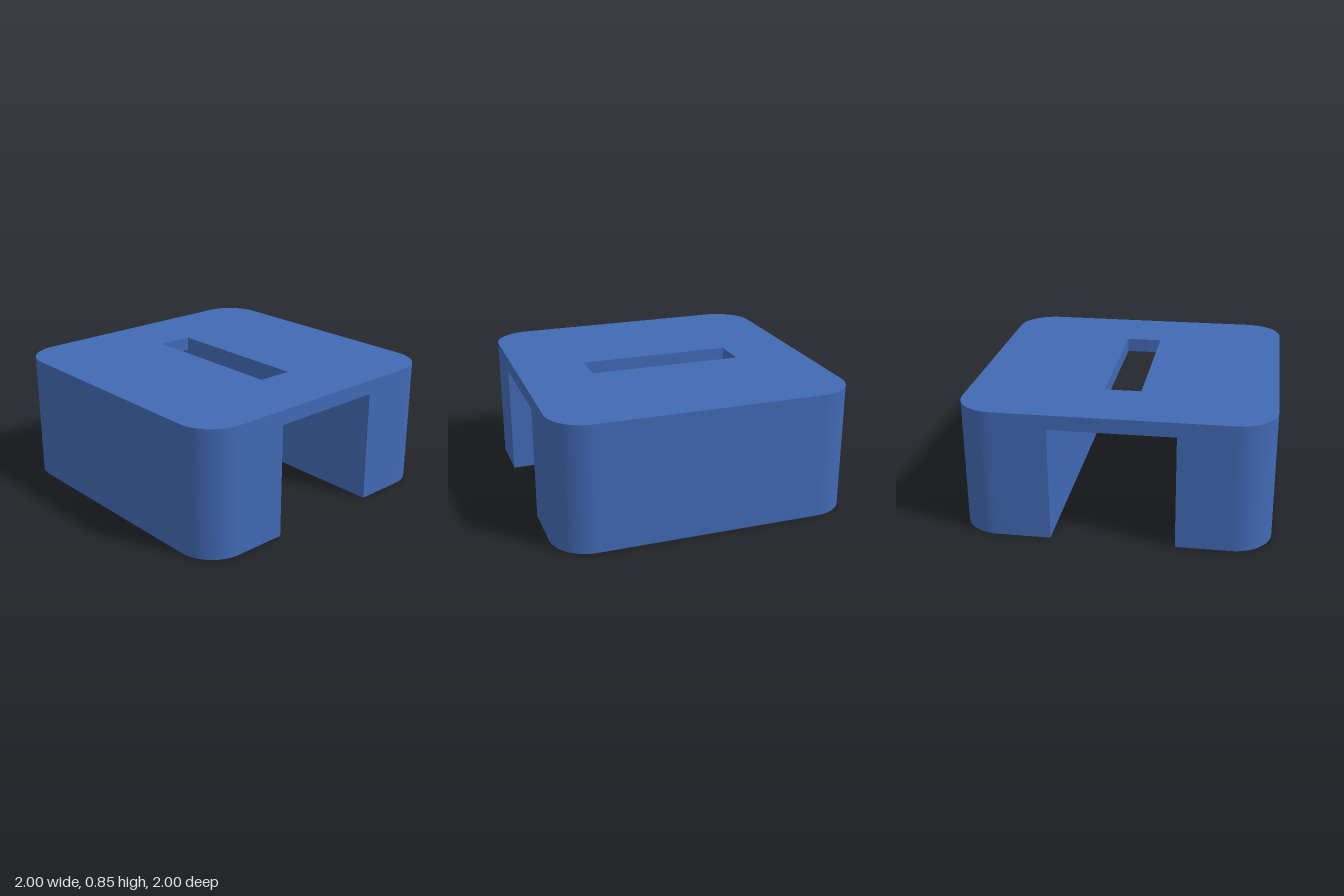
import * as THREE from 'three';
import { mergeGeometries, toCreasedNormals } from 'three/addons/utils/BufferGeometryUtils.js';

const TOP = 0.85, CEILING = 0.755, CHANNEL = 0.4, RADIUS = 0.25;
const SLOT_X = 0.522, SLOT_Z = 0.12;
const HOLE_X = 0.4, HOLE_Z = 0.745, HOLE_R = 0.067, HOLE_DEPTH = 0.4;

// Plan outlines: shape x is world x, shape y is world z
function rect(hx, hz) {
  return new THREE.Shape().moveTo(-hx, -hz).lineTo(hx, -hz).lineTo(hx, hz).lineTo(-hx, hz).closePath();
}

function roundedEnd(shape) {
  const c = 1 - RADIUS;
  shape.lineTo(1, c);
  shape.absarc(c, c, RADIUS, 0, Math.PI / 2);
  shape.lineTo(-c, 1);
  shape.absarc(-c, c, RADIUS, Math.PI / 2, Math.PI);
  return shape;
}

function legOutline() {
  return roundedEnd(new THREE.Shape().moveTo(-1, CHANNEL).lineTo(1, CHANNEL)).closePath();
}

function plateOutline() {
  const c = 1 - RADIUS;
  const s = roundedEnd(new THREE.Shape().moveTo(1, -c));
  s.lineTo(-1, -c);
  s.absarc(-c, -c, RADIUS, Math.PI, Math.PI * 1.5);
  s.lineTo(c, -1);
  s.absarc(c, -c, RADIUS, Math.PI * 1.5, Math.PI * 2);
  return s;
}

function circle(x, z) {
  return new THREE.Shape().absarc(x, z, HOLE_R, 0, Math.PI * 2);
}

// Horizontal face at height y, looking up or down
function face(shape, y, up, holes = []) {
  shape.holes = holes;
  const g = new THREE.ShapeGeometry(shape, 16).toNonIndexed();
  g.rotateX(up ? -Math.PI / 2 : Math.PI / 2).translate(0, y, 0);
  g.deleteAttribute('uv');
  return g;
}

// Vertical wall along an outline, facing outward, or inward for openings
function wall(shape, y0, y1, inward = false) {
  const pts = shape.getPoints(16);
  if (inward) pts.reverse();
  const pos = [];
  pts.forEach((p, i) => {
    const q = pts[(i + 1) % pts.length];
    if (p.distanceTo(q) < 1e-6) return;
    pos.push(p.x, y0, p.y, p.x, y1, p.y, q.x, y1, q.y);
    pos.push(p.x, y0, p.y, q.x, y1, q.y, q.x, y0, q.y);
  });
  const g = new THREE.BufferGeometry();
  g.setAttribute('position', new THREE.Float32BufferAttribute(pos, 3));
  g.computeVertexNormals();
  return toCreasedNormals(g, Math.PI / 6);
}

export function createModel() {
  const model = new THREE.Group();
  const material = new THREE.MeshStandardMaterial({ color: 0x4169b4 });
  const part = (name, geometries) => {
    const mesh = new THREE.Mesh(mergeGeometries(geometries), material);
    mesh.name = name;
    model.add(mesh);
    return mesh;
  };

  // Top plate with the slot cut through to the channel
  part('topPlate', [
    face(plateOutline(), TOP, true, [rect(SLOT_X, SLOT_Z)]),
    face(rect(1, CHANNEL), CEILING, false, [rect(SLOT_X, SLOT_Z)]),
    wall(plateOutline(), CEILING, TOP),
    wall(rect(SLOT_X, SLOT_Z), CEILING, TOP, true),
  ]);

  // Two solid legs beside the channel, each with a pair of blind holes underneath
  for (const [name, angle] of [['frontLeg', 0], ['backLeg', Math.PI]]) {
    const holes = [-HOLE_X, HOLE_X].map((x) => circle(x, HOLE_Z));
    part(name, [
      wall(legOutline(), 0, CEILING),
      face(legOutline(), 0, false, holes),
      ...holes.map((h) => wall(h, 0, HOLE_DEPTH, true)),
      ...[-HOLE_X, HOLE_X].map((x) => face(circle(x, HOLE_Z), HOLE_DEPTH, false)),
    ]).rotation.y = angle;
  }
  return model;
}
